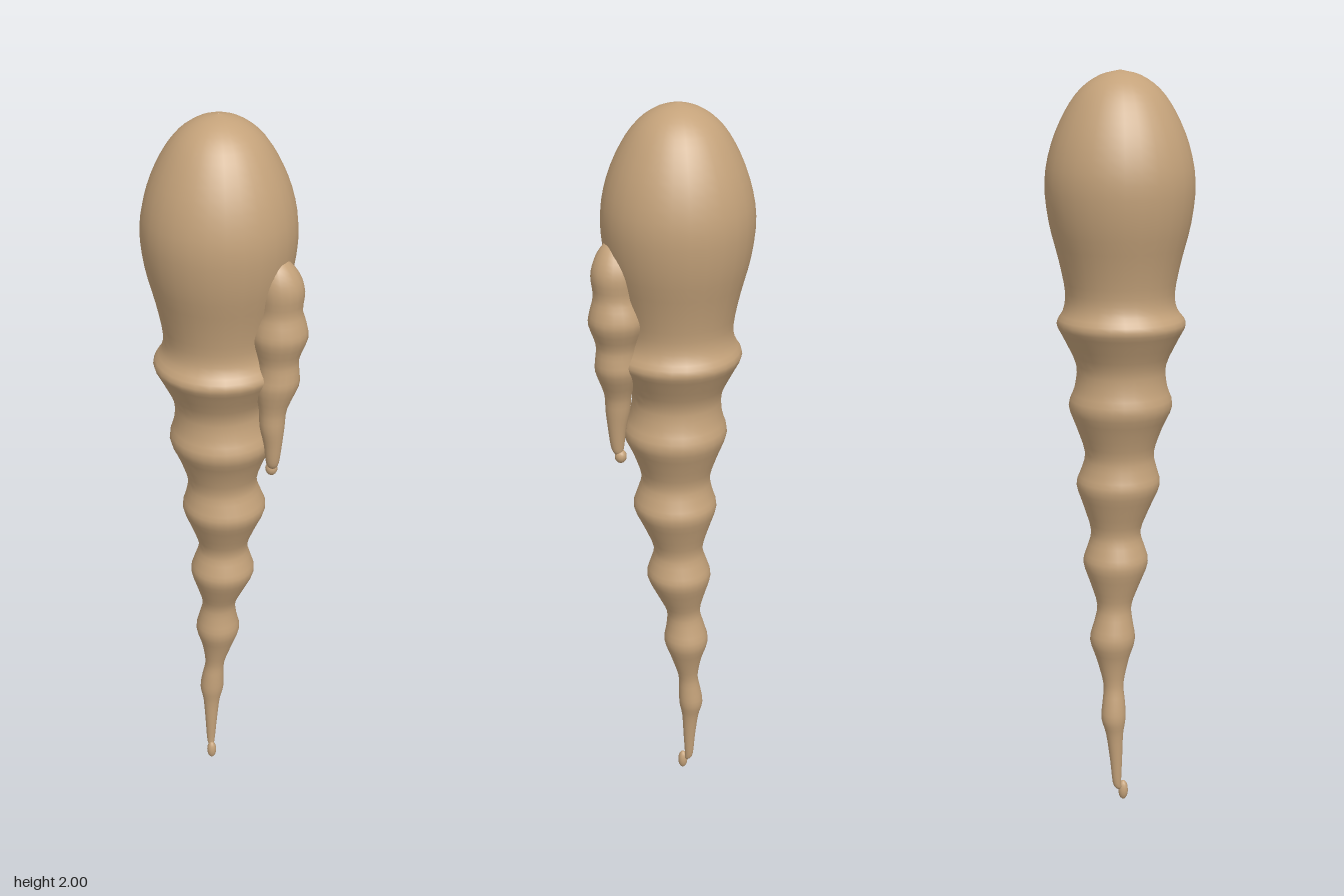
import * as THREE from 'three';

const ice = new THREE.MeshStandardMaterial({ color: 0xc4a27a });
ice.name = 'tan';

// Smooth round loft through sections [y, radius, centreX, centreZ], listed top to bottom
function loft(name, sections, sides, steps) {
  const axis = new THREE.CatmullRomCurve3(
    sections.map(([y, , x, z]) => new THREE.Vector3(x, y, z)), false, 'catmullrom');
  const girth = new THREE.CatmullRomCurve3(
    sections.map(([y, r]) => new THREE.Vector3(r, y, 0)), false, 'catmullrom');
  const rows = (sections.length - 1) * steps;
  const positions = [], index = [];
  for (let i = 0; i <= rows; i++) {
    const c = axis.getPoint(i / rows);
    const r = Math.max(girth.getPoint(i / rows).x, 0.0005);
    for (let j = 0; j < sides; j++) {
      const a = (j / sides) * Math.PI * 2;
      positions.push(c.x + r * Math.cos(a), c.y, c.z + r * Math.sin(a));
      if (i === rows) continue;
      const k = i * sides + j, n = i * sides + (j + 1) % sides;
      index.push(k, n, k + sides, n, n + sides, k + sides);
    }
  }
  const geometry = new THREE.BufferGeometry();
  geometry.setAttribute('position', new THREE.Float32BufferAttribute(positions, 3));
  geometry.setIndex(index);
  geometry.computeVertexNormals();
  const mesh = new THREE.Mesh(geometry, ice);
  mesh.name = name;
  return mesh;
}

// Small hanging drop
function drop(name, x, y, z, r, halfHeight) {
  const mesh = new THREE.Mesh(new THREE.SphereGeometry(1, 12, 10), ice);
  mesh.scale.set(r, halfHeight, r);
  mesh.position.set(x, y, z);
  mesh.name = name;
  return mesh;
}

export function createModel() {
  const group = new THREE.Group();
  group.name = 'icicle';

  // Main icicle: domed head, then shrinking ripples down to a thin tip
  group.add(loft('mainIcicle', [
    [2.0, 0, -0.02, 0], [1.988, 0.05, -0.02, 0], [1.955, 0.099, -0.02, 0],
    [1.9, 0.139, -0.02, 0], [1.82, 0.174, -0.02, 0], [1.73, 0.191, -0.02, 0],
    [1.63, 0.182, -0.02, 0], [1.53, 0.157, -0.02, 0], [1.45, 0.142, -0.02, 0],
    [1.405, 0.148, -0.02, 0], [1.37, 0.168, -0.02, 0.003], [1.33, 0.15, -0.02, 0.003],
    [1.26, 0.118, -0.02, 0.003], [1.2, 0.122, -0.017, 0.003], [1.15, 0.137, -0.014, 0.003],
    [1.09, 0.114, -0.014, 0], [1.02, 0.092, -0.014, 0], [0.97, 0.102, -0.01, 0],
    [0.93, 0.112, -0.009, -0.002], [0.87, 0.09, -0.011, -0.006], [0.8, 0.067, -0.013, -0.01],
    [0.75, 0.079, -0.014, -0.01], [0.71, 0.088, -0.015, -0.011], [0.65, 0.067, -0.02, -0.014],
    [0.59, 0.047, -0.026, -0.018], [0.54, 0.053, -0.03, -0.022], [0.49, 0.062, -0.031, -0.025],
    [0.43, 0.044, -0.033, -0.025], [0.36, 0.028, -0.04, -0.025], [0.31, 0.031, -0.046, -0.026],
    [0.26, 0.034, -0.05, -0.028], [0.21, 0.024, -0.051, -0.025], [0.13, 0.017, -0.052, -0.021],
    [0.06, 0.012, -0.053, -0.019], [0.04, 0.008, -0.052, -0.014], [0.035, 0, -0.051, -0.012],
  ], 28, 3));
  group.add(drop('mainDrop', -0.048, 0.029, 0.001, 0.014, 0.029));

  // Side icicle: lumpy runner clinging to the left front
  group.add(loft('sideIcicle', [
    [1.69, 0, 0.12, 0.07], [1.675, 0.03, 0.125, 0.07], [1.64, 0.052, 0.131, 0.067],
    [1.6, 0.06, 0.136, 0.065], [1.55, 0.056, 0.136, 0.064], [1.51, 0.067, 0.136, 0.062],
    [1.475, 0.071, 0.136, 0.062], [1.42, 0.053, 0.134, 0.065], [1.38, 0.054, 0.135, 0.066],
    [1.345, 0.056, 0.132, 0.067], [1.28, 0.036, 0.125, 0.073], [1.23, 0.032, 0.124, 0.076],
    [1.18, 0.024, 0.127, 0.077], [1.13, 0.018, 0.127, 0.077], [1.11, 0.012, 0.127, 0.075],
    [1.1, 0, 0.126, 0.073],
  ], 18, 3));
  group.add(drop('sideDrop', 0.124, 1.1, 0.069, 0.016, 0.019));

  return group;
}
